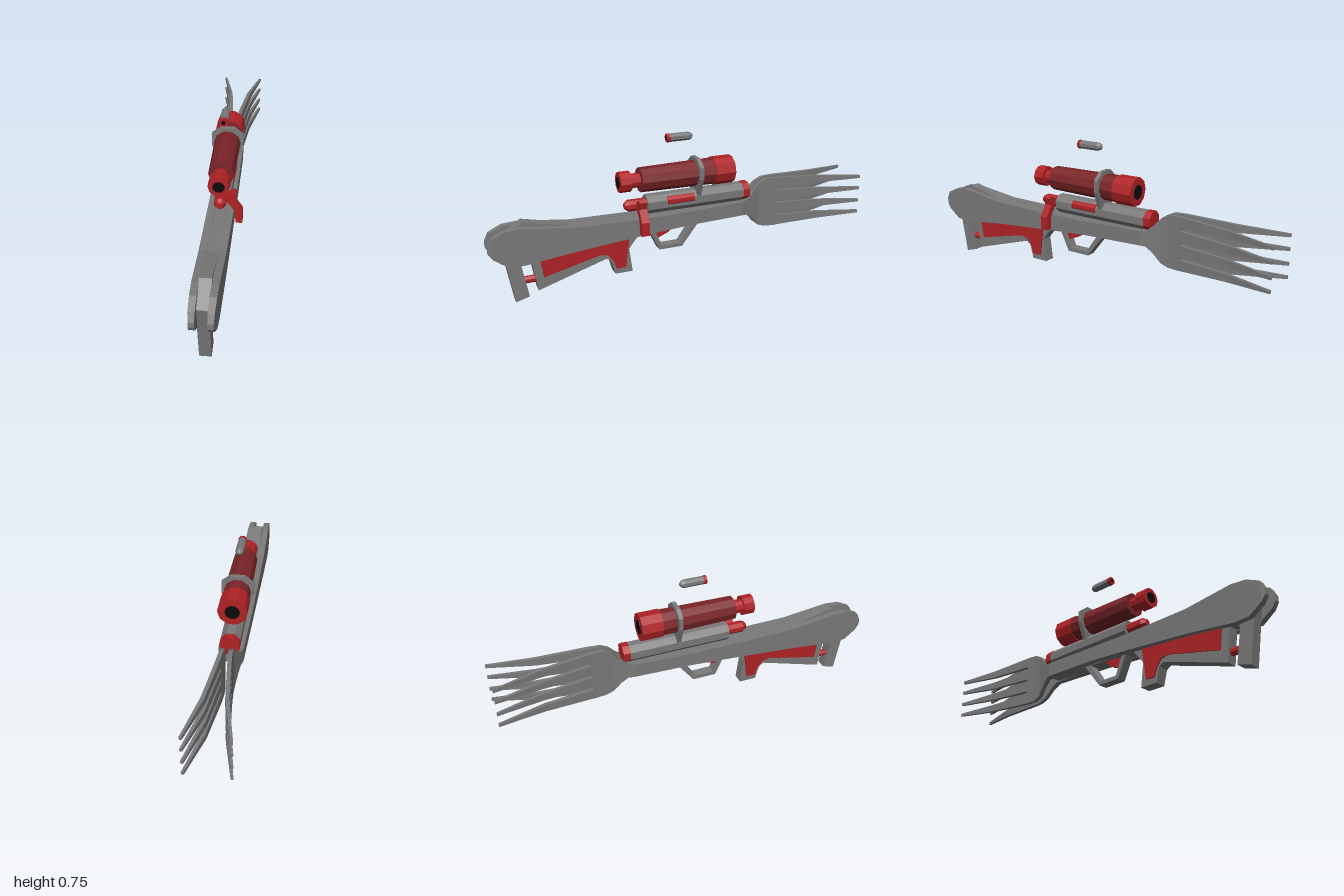
import * as THREE from 'three';

const mat = (name, color) => {
  const m = new THREE.MeshStandardMaterial({ color, flatShading: true });
  m.name = name;
  return m;
};

export function createModel() {
  const model = new THREE.Group();
  const grey = mat('steel grey', 0x7a7a7a);
  const red = mat('red', 0xb02226);
  const darkRed = mat('dark red', 0x7a2428);
  const black = mat('black', 0x0a0a0a);

  const add = (name, geometry, material, x = 0, y = 0, z = 0) => {
    const mesh = new THREE.Mesh(geometry, material);
    mesh.name = name;
    mesh.position.set(x, y, z);
    model.add(mesh);
    return mesh;
  };

  // Side profile of [z, y] points, extruded across x and centred at x = cx
  const slab = (name, pts, width, material, cx = 0) => {
    const shape = new THREE.Shape(pts.map(([z, y]) => new THREE.Vector2(-z, y)));
    const g = new THREE.ExtrudeGeometry(shape, { depth: width, bevelEnabled: false });
    g.translate(0, 0, -width / 2).rotateY(Math.PI / 2);
    return add(name, g, material, cx);
  };

  // Front profile of [x, y] points, extruded along z from z0
  const plate = (name, pts, depth, material, z0, hole) => {
    const shape = new THREE.Shape(pts.map(([x, y]) => new THREE.Vector2(x, y)));
    if (hole) shape.holes.push(hole);
    return add(name, new THREE.ExtrudeGeometry(shape, { depth, bevelEnabled: false }), material, 0, 0, z0);
  };

  // Cylinder along z between z0 (rear, smaller z) and z1
  const tube = (name, r0, r1, z0, z1, x, y, material, sides = 10) => {
    const g = new THREE.CylinderGeometry(r1, r0, z1 - z0, sides);
    g.rotateY(Math.PI / sides).rotateX(Math.PI / 2);
    return add(name, g, material, x, y, (z0 + z1) / 2);
  };

  // Bar lofted through rectangular sections [z, yTop, yBottom, xCentre, thickness], z falling
  const loft = (name, sections, side) => {
    const pos = [], idx = [];
    for (const [z, top, bottom, xc, t] of sections) {
      const a = xc * side + t / 2, b = xc * side - t / 2;
      pos.push(a, top, z, b, top, z, b, bottom, z, a, bottom, z);
    }
    for (let i = 0; i < sections.length - 1; i++) {
      for (let k = 0; k < 4; k++) {
        const a = i * 4 + k, b = i * 4 + (k + 1) % 4;
        idx.push(a, a + 4, b + 4, a, b + 4, b);
      }
    }
    const e = (sections.length - 1) * 4;
    idx.push(0, 1, 2, 0, 2, 3, e, e + 2, e + 1, e, e + 3, e + 2);
    const g = new THREE.BufferGeometry();
    g.setAttribute('position', new THREE.Float32BufferAttribute(pos, 3));
    g.setIndex(idx);
    const flat = g.toNonIndexed();
    flat.computeVertexNormals();
    add(name, flat, grey);
  };

  // Two forks, one on each side, with handles toward the butt
  const handle = [
    [1, 0.31, 0.28, 0.04, 0.026], [0.98, 0.35, 0.25, 0.041, 0.03], [0.915, 0.38, 0.203, 0.042, 0.032],
    [0.84, 0.385, 0.198, 0.043, 0.034], [0.59, 0.352, 0.228, 0.045, 0.036], [0.25, 0.346, 0.257, 0.046, 0.036],
    [0, 0.348, 0.275, 0.046, 0.036], [-0.31, 0.357, 0.283, 0.044, 0.034], [-0.34, 0.362, 0.28, 0.037, 0.03],
    [-0.375, 0.39, 0.252, 0.03, 0.026], [-0.415, 0.435, 0.205, 0.022, 0.022], [-0.455, 0.455, 0.19, 0.021, 0.02],
    [-0.515, 0.457, 0.188, 0.025, 0.02],
  ];
  // Tine heights above the fork centre line: [top, bottom] at root, middle and tip
  const tines = [
    [[0.134, 0.08], [0.122, 0.084], [0.108, 0.093]],
    [[0.064, 0.007], [0.053, 0.015], [0.043, 0.028]],
  ];
  const tineBend = [[-0.514, 0.025, 0.02], [-0.77, 0.052, 0.018], [-1, 0.104, 0.012]];
  for (const side of [1, -1]) {
    loft(side > 0 ? 'leftForkHandle' : 'rightForkHandle', handle, side);
    for (const tine of tines) {
      for (const flip of [1, -1]) {
        loft('forkTine', tineBend.map(([z, x, t], i) => {
          const [p, q] = tine[i].map((h) => 0.323 + h * flip);
          return [z, Math.max(p, q), Math.min(p, q), x, t];
        }), side);
      }
    }
  }

  // Core between the handles, with the raised cheek and rear butt bar
  slab('core', [[0.83, 0.405], [0.59, 0.35], [0.2, 0.343], [-0.33, 0.35], [-0.33, 0.288],
    [0.2, 0.262], [0.5, 0.24], [0.83, 0.205]], 0.054, grey);
  slab('buttBar', [[0.887, 0], [0.82, 0.02], [0.852, 0.2], [0.83, 0.404], [0.945, 0.33], [0.92, 0.2]], 0.056, grey);

  // Lower stock and grip with red side panels
  slab('lowerStock', [[0.8, 0.215], [0.775, 0.043], [0.43, 0.15], [0.405, 0.135], [0.385, 0.06], [0.294, 0.06],
    [0.31, 0.185], [0.25, 0.26], [0.5, 0.25]], 0.058, grey);
  for (const side of [1, -1]) {
    slab('stockPanel', [[0.76, 0.215], [0.745, 0.11], [0.46, 0.178], [0.42, 0.168], [0.392, 0.13], [0.378, 0.09],
      [0.33, 0.09], [0.32, 0.17], [0.308, 0.255], [0.5, 0.238]], 0.008, red, side * 0.032);
  }
  tube('stockConnector', 0.018, 0.018, 0.76, 0.86, 0, 0.098, red, 8);

  // Trigger and guard
  slab('triggerGuard', [[0.2, 0.265], [0.145, 0.15], [0.02, 0.15], [-0.08, 0.28], [-0.045, 0.28], [0.03, 0.17],
    [0.132, 0.17], [0.17, 0.265]], 0.05, grey);
  slab('trigger', [[0.175, 0.265], [0.172, 0.21], [0.145, 0.212], [0.09, 0.235], [0.05, 0.27]], 0.024, red);

  // Receiver, muzzle ring, ejection port and bolt
  tube('receiver', 0.05, 0.05, -0.32, 0.21, 0, 0.4, grey, 8);
  tube('muzzleRing', 0.051, 0.051, -0.356, -0.32, 0, 0.401, red, 8);
  tube('ejectionPort', 0.025, 0.025, -0.04, 0.105, 0.028, 0.412, red, 8);
  tube('boltBody', 0.03, 0.03, 0.2, 0.3, 0, 0.403, red, 8);
  tube('boltCap', 0.03, 0.017, 0.3, 0.32, 0, 0.403, red, 8);
  plate('boltHandle', [[0.01, 0.41], [0.03, 0.425], [0.063, 0.446], [0.077, 0.434], [0.066, 0.398], [0.105, 0.339],
    [0.105, 0.27], [0.073, 0.27], [0.067, 0.34], [0.03, 0.39]], 0.04, red, 0.225);

  // Scope
  const sy = 0.53;
  tube('scopeBell', 0.073, 0.073, -0.26, -0.152, 0, sy, red);
  tube('scopeBody', 0.068, 0.062, -0.152, 0.24, 0, sy, darkRed);
  tube('scopeNeck', 0.036, 0.036, 0.24, 0.29, 0, sy, red);
  tube('scopeEyepiece', 0.052, 0.052, 0.29, 0.347, 0, sy, red);
  tube('eyepieceLens', 0.029, 0.029, 0.345, 0.35, 0, sy, black);
  tube('frontLens', 0.037, 0.037, -0.263, -0.258, 0, sy, black);

  // Scope mount strap
  const hole = new THREE.Path().absarc(0, sy, 0.064, 0, Math.PI * 2, true);
  plate('scopeMount', [[-0.035, 0.612], [-0.08, 0.575], [-0.08, 0.515], [-0.045, 0.42], [0.045, 0.42],
    [0.08, 0.515], [0.08, 0.575], [0.035, 0.612]], 0.022, grey, -0.077, hole);

  // Floating cartridge
  const cx = -0.004, cy = 0.726;
  tube('cartridgeBase', 0.022, 0.022, 0.076, 0.092, cx, cy, red, 8);
  tube('cartridgePrimer', 0.01, 0.01, 0.09, 0.094, cx, cy, black, 8);
  tube('cartridgeCase', 0.021, 0.021, -0.026, 0.076, cx, cy, grey, 8);
  tube('cartridgeShoulder', 0.015, 0.021, -0.04, -0.026, cx, cy, grey, 8);
  tube('cartridgeTip', 0.004, 0.015, -0.048, -0.04, cx, cy, grey, 8);

  return model;
}
